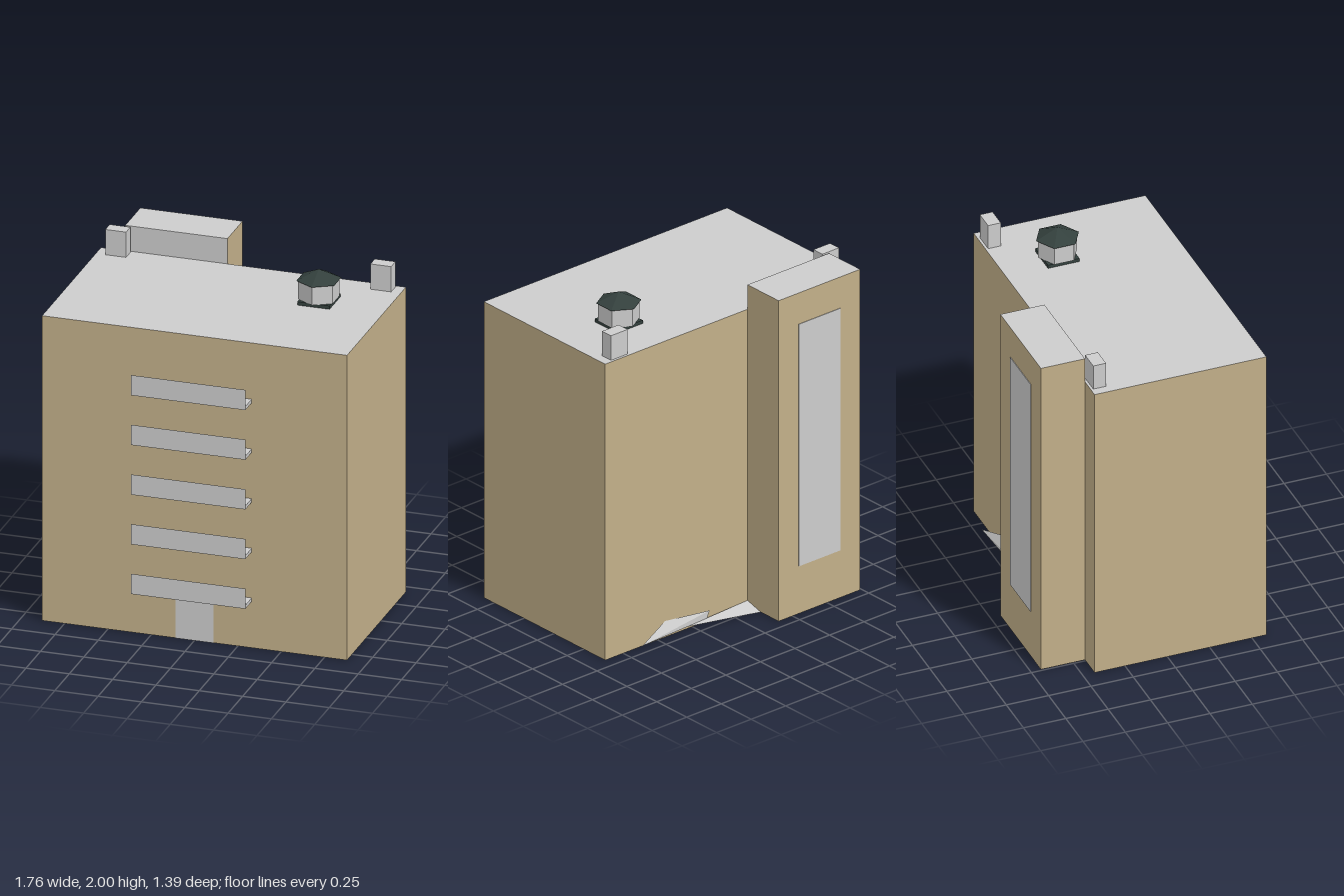
import * as THREE from 'three';

export function createModel() {
  const model = new THREE.Group();
  model.name = 'apartmentBlock';

  const tan = new THREE.MeshStandardMaterial({ color: 0xc2af89 });
  tan.name = 'tan wall';
  const grey = new THREE.MeshStandardMaterial({ color: 0xcccccc, side: THREE.DoubleSide, flatShading: true });
  grey.name = 'pale grey';
  const dark = new THREE.MeshStandardMaterial({ color: 0x33403d, flatShading: true });
  dark.name = 'dark green slate';

  const add = (name, geometry, material) => {
    const mesh = new THREE.Mesh(geometry, material);
    mesh.name = name;
    model.add(mesh);
    return mesh;
  };
  // Box given by its limits on each axis
  const box = (name, [x0, x1], [y0, y1], [z0, z1], material) => {
    const mesh = add(name, new THREE.BoxGeometry(x1 - x0, y1 - y0, z1 - z0), material);
    mesh.position.set((x0 + x1) / 2, (y0 + y1) / 2, (z0 + z1) / 2);
    return mesh;
  };

  // Main block and rear stair tower: tan walls, grey top and underside
  box('mainBlock', [-0.88, 0.88], [0, 1.81], [-0.43, 0.585], [tan, tan, grey, grey, tan, tan]);
  box('stairTower', [-0.74, -0.15], [0, 1.96], [-0.69, -0.43], [tan, tan, grey, grey, grey, tan]);
  box('stairWindow', [-0.595, -0.295], [0.29, 1.77], [-0.693, -0.69], grey);

  // Entrance with its canopy
  box('door', [-0.11, 0.11], [0, 0.262], [0.585, 0.588], grey);
  box('doorCanopy', [-0.11, 0.11], [0.297, 0.32], [0.585, 0.692], grey);

  // Balconies: a thin floor and a front screen, open at the ends
  for (let i = 0; i < 5; i++) {
    const y = 0.275 + i * 0.295;
    box('balconyFloor', [-0.33, 0.33], [y, y + 0.021], [0.585, 0.694], grey);
    add('balconyScreen', new THREE.PlaneGeometry(0.66, 0.12), grey).position.set(0, y + 0.06, 0.695);
  }

  // Chimneys at both rear corners
  for (const side of [-1, 1]) {
    const chimney = box('chimney', [0.705, 0.825], [1.81, 1.96], [-0.415, -0.34], grey);
    chimney.position.x *= side;
  }

  // Six-sided roof lantern on a square base
  const cx = 0.49, cz = -0.093;
  box('lanternBase', [cx - 0.093, cx + 0.093], [1.81, 1.83], [cz - 0.093, cz + 0.093], dark);
  add('lanternBody', new THREE.CylinderGeometry(0.115, 0.115, 0.11, 6), grey).position.set(cx, 1.885, cz);
  add('lanternRoof', new THREE.ConeGeometry(0.126, 0.06, 6), dark).position.set(cx, 1.97, cz);

  // Low sloping banks against the rear wall
  const bank = (name, points, index) => {
    const geometry = new THREE.BufferGeometry();
    geometry.setAttribute('position', new THREE.Float32BufferAttribute(points.flat(), 3));
    geometry.setIndex(index);
    geometry.computeVertexNormals();
    add(name, geometry, grey);
  };
  bank('lowBank', [[-0.15, 0, -0.54], [-0.15, 0.03, -0.43], [0.32, 0.03, -0.455]], [0, 1, 2]);
  bank('highBank', [[0.65, 0.03, -0.476], [0.45, 0.1, -0.432], [0.14, 0.07, -0.448], [0.16, 0.03, -0.45]],
    [0, 2, 1, 0, 3, 2]);

  return model;
}
